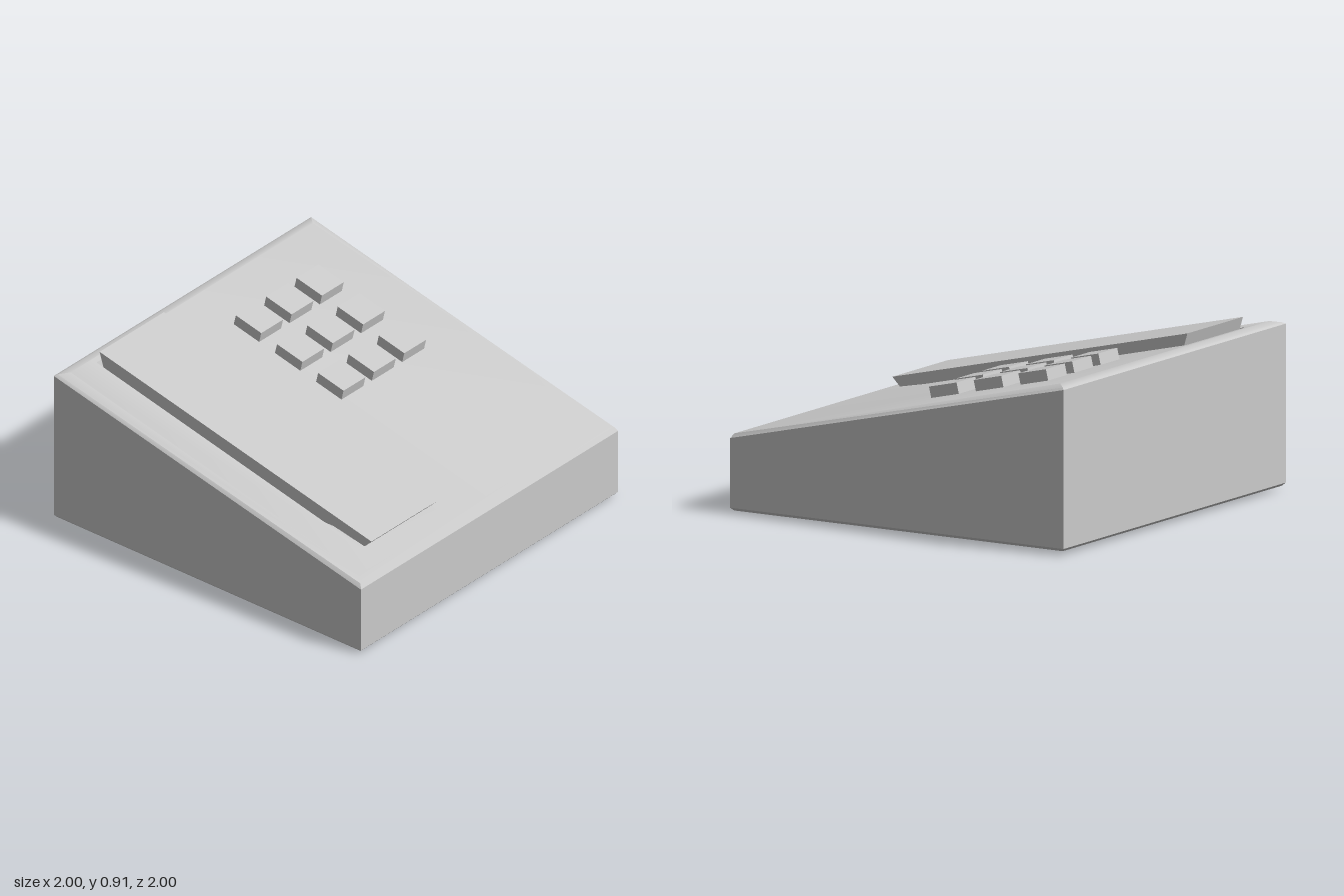
import * as THREE from 'three';
import { toCreasedNormals } from 'three/addons/utils/BufferGeometryUtils.js';

const SLOPE = 0.239;
const topY = (x) => 0.637 - SLOPE * x; // height of the sloping top face

export function createModel() {
  const group = new THREE.Group();
  const grey = new THREE.MeshStandardMaterial({ color: 0xcccccc });
  const add = (geometry, name) => {
    const mesh = new THREE.Mesh(geometry, grey);
    mesh.name = name;
    group.add(mesh);
    return mesh;
  };

  // Wedge body: stacked square rings with softened top and bottom rims
  const pos = [];
  const tri = (a, b, c) => pos.push(...a, ...b, ...c);
  const quad = (a, b, c, d) => { tri(a, b, c); tri(a, c, d); };
  const ring = (s, yL, yR) => [[-s, yL, s], [s, yR, s], [s, yR, -s], [-s, yL, -s]];
  const inner = 0.94;
  const rings = [
    ring(inner, 0.015, 0), ring(0.985, 0.02, 0.005), ring(1, 0.035, 0.02),
    ring(1, 0.845, 0.375), ring(0.985, 0.853, 0.398),
    ring(inner, topY(-inner), topY(inner)),
  ];
  for (let r = 0; r < rings.length - 1; r++) {
    for (let i = 0; i < 4; i++) {
      const j = (i + 1) % 4;
      quad(rings[r][i], rings[r][j], rings[r + 1][j], rings[r + 1][i]);
    }
  }
  quad(...[...rings[0]].reverse());

  // Sloping top, left open around the handset cradle
  const x0 = -0.91, x1 = 0.835, z0 = 0.235, z1 = 0.775;
  const topPiece = (a, b, back, front) => quad(
    [a, topY(a), front], [b, topY(b), front], [b, topY(b), back], [a, topY(a), back]);
  topPiece(-inner, inner, z1, inner);
  topPiece(-inner, inner, -inner, z0);
  topPiece(-inner, x0, z0, z1);
  topPiece(x1, inner, z0, z1);

  // Cradle: steep end wall, level floor, shallow ramp and two side walls
  const cradle = [[x0, topY(x0)], [-0.785, 0.48], [0.61, 0.48], [x1, topY(x1)]];
  for (let i = 0; i < 3; i++) {
    const [a, b] = [cradle[i], cradle[i + 1]];
    quad([...a, z1], [...b, z1], [...b, z0], [...a, z0]);
  }
  const [p, q, r, s] = cradle;
  for (const [a, b, c] of [[p, q, r], [p, r, s]]) {
    tri([...a, z0], [...b, z0], [...c, z0]);
    tri([...c, z1], [...b, z1], [...a, z1]);
  }
  const body = new THREE.BufferGeometry();
  body.setAttribute('position', new THREE.Float32BufferAttribute(pos, 3));
  add(toCreasedNormals(body, 0.5), 'body');

  // Handset slab with undercut ends, resting in the cradle
  const profile = new THREE.Shape([
    [-0.905, 0.91], [-0.775, 0.485], [0.62, 0.485], [0.82, 0.445], [0.865, 0.49],
  ].map(([x, y]) => new THREE.Vector2(x, y)));
  const handset = new THREE.ExtrudeGeometry(profile, { depth: 0.5, bevelEnabled: false });
  handset.translate(0, 0, 0.257);
  add(handset, 'handset');

  // Keypad: 3 x 3 keys standing square to the sloping top
  const keyHeight = 0.07, sunk = 0.012;
  const key = new THREE.BoxGeometry(0.17, keyHeight, 0.17);
  key.translate(0, keyHeight / 2 - sunk, 0);
  key.rotateZ(-Math.atan(SLOPE));
  for (let row = 0; row < 3; row++) {
    for (let col = 0; col < 3; col++) {
      const x = -0.598 + col * 0.268;
      add(key, 'key').position.set(x, topY(x), -0.575 + row * 0.236);
    }
  }
  return group;
}
